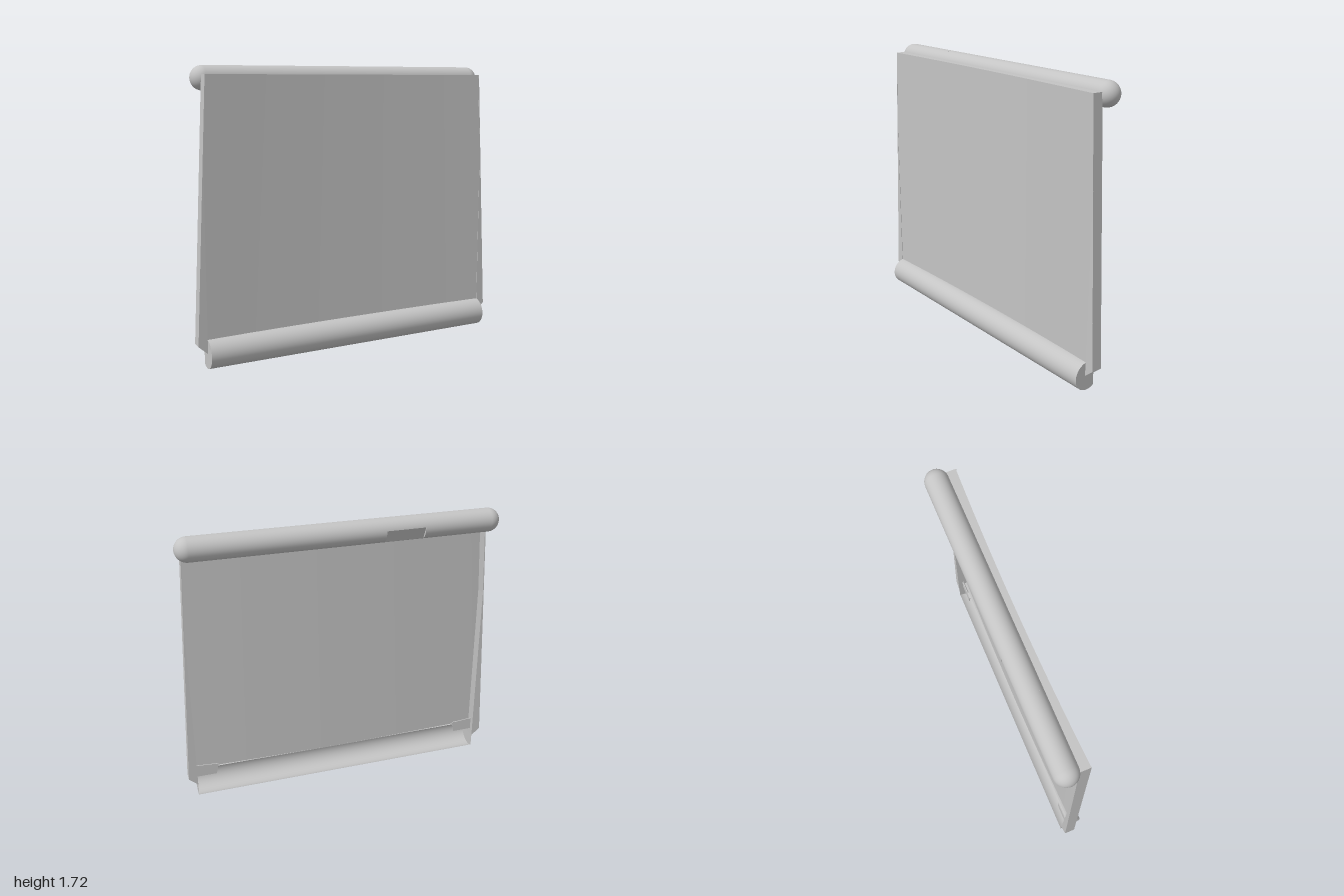
import * as THREE from 'three';

const rad = THREE.MathUtils.degToRad;

export function createModel() {
  const model = new THREE.Group();
  const gray = new THREE.MeshStandardMaterial({ color: 0xc4c4c4, side: THREE.DoubleSide });
  gray.name = 'plain gray';

  const add = (name, geometry, x = 0, y = 0, z = 0, parent = model) => {
    const mesh = new THREE.Mesh(geometry, gray);
    mesh.name = name;
    mesh.position.set(x, y, z);
    parent.add(mesh);
    return mesh;
  };

  // Maps a flat grid (u, v from 0 to 1) to a surface
  const surface = (nu, nv, fn) => {
    const g = new THREE.PlaneGeometry(1, 1, nu, nv);
    const p = g.attributes.position;
    for (let i = 0; i < p.count; i++) p.setXYZ(i, ...fn(p.getX(i) + 0.5, p.getY(i) + 0.5));
    g.computeVertexNormals();
    return g;
  };

  // Part of a tube along x; angles run from the front (+z) downward
  const tube = (r, length, start = 0, sweep = 360) =>
    new THREE.CylinderGeometry(r, r, length, 48, 1, true, rad(start), rad(sweep)).rotateZ(-Math.PI / 2);

  // Flat plate across x, closing an arc of a tube with the same angles
  const endPlate = (r, start, end, corner) => {
    const s = new THREE.Shape();
    s.absarc(0, 0, r, -rad(start), -rad(end), true);
    if (corner) s.lineTo(...corner);
    return new THREE.ShapeGeometry(s, 40).rotateY(-Math.PI / 2);
  };

  const TOP = 1.67, BOTTOM = 0.17;
  const halfWidth = y => 0.92 + (TOP - y) * 0.0523;
  const bow = u => 0.045 + 0.019 * (2 * u - 1) ** 2;

  // Slightly hollow front sheet and its top edge
  add('frontSheet', surface(24, 1, (u, v) => {
    const y = BOTTOM + (TOP - BOTTOM) * v;
    return [(2 * u - 1) * halfWidth(y), y, bow(u)];
  }));
  add('topEdge', surface(24, 1, (u, v) => [(2 * u - 1) * 0.92, TOP, bow(u) * (1 - v)]));

  // Side walls that widen downward, and small corner tabs behind the sheet
  for (const s of [-1, 1]) {
    const plate = (pts, depth) => new THREE.ExtrudeGeometry(
      new THREE.Shape(pts.map(([x, y]) => new THREE.Vector2(s * x, y))),
      { depth, bevelEnabled: false });
    const side = s > 0 ? 'left' : 'right';
    add(side + 'SideWall',
      plate([[0.92, TOP], [1, 0.14], [0.945, 0.09], [0.942, 1.15], [0.914, TOP]], 0.065));
    add(side + 'CornerTab',
      plate([[0.945, 0.13], [0.82, 0.13], [0.805, 0.2], [0.945, 0.21]], 0.006), 0, 0, 0.03);
  }

  // Bottom trough, open at the back
  const trough = new THREE.Group();
  trough.name = 'bottomTrough';
  trough.position.set(0, 0.0875, 0.048);
  model.add(trough);
  add('troughShell', tube(0.0875, 1.89, -92, 215), 0, 0, 0, trough);
  for (const s of [-1, 1])
    add('troughEnd', endPlate(0.0875, -92, 123, [-0.048, 0.04]), s * 0.945, 0, 0, trough);

  // Top rod with rounded ends and a flat notch low on its back
  const R = 0.071, END = 0.894, N0 = -0.47, N1 = -0.23;
  const rod = new THREE.Group();
  rod.name = 'topRod';
  rod.position.set(0, 1.65, -0.06);
  model.add(rod);
  for (const [a, b] of [[-END, N0], [N1, END]])
    add('rodLength', tube(R, b - a), (a + b) / 2, 0, 0, rod);
  for (const s of [-1, 1])
    add('rodEnd', new THREE.SphereGeometry(R, 48, 12, 0, Math.PI * 2, 0, Math.PI / 2)
      .rotateZ(-s * Math.PI / 2), s * END, 0, 0, rod);
  const mid = (N0 + N1) / 2, half = rad(35);
  add('notchedLength', tube(R, N1 - N0, 190, 290), mid, 0, 0, rod);
  add('notchFlat', new THREE.PlaneGeometry(N1 - N0, 2 * R * Math.sin(half))
    .translate(0, 0, R * Math.cos(half)).rotateX(rad(155)), mid, 0, 0, rod);
  for (const x of [N0, N1]) add('notchEnd', endPlate(R, 120, 190), x, 0, 0, rod);

  return model;
}
